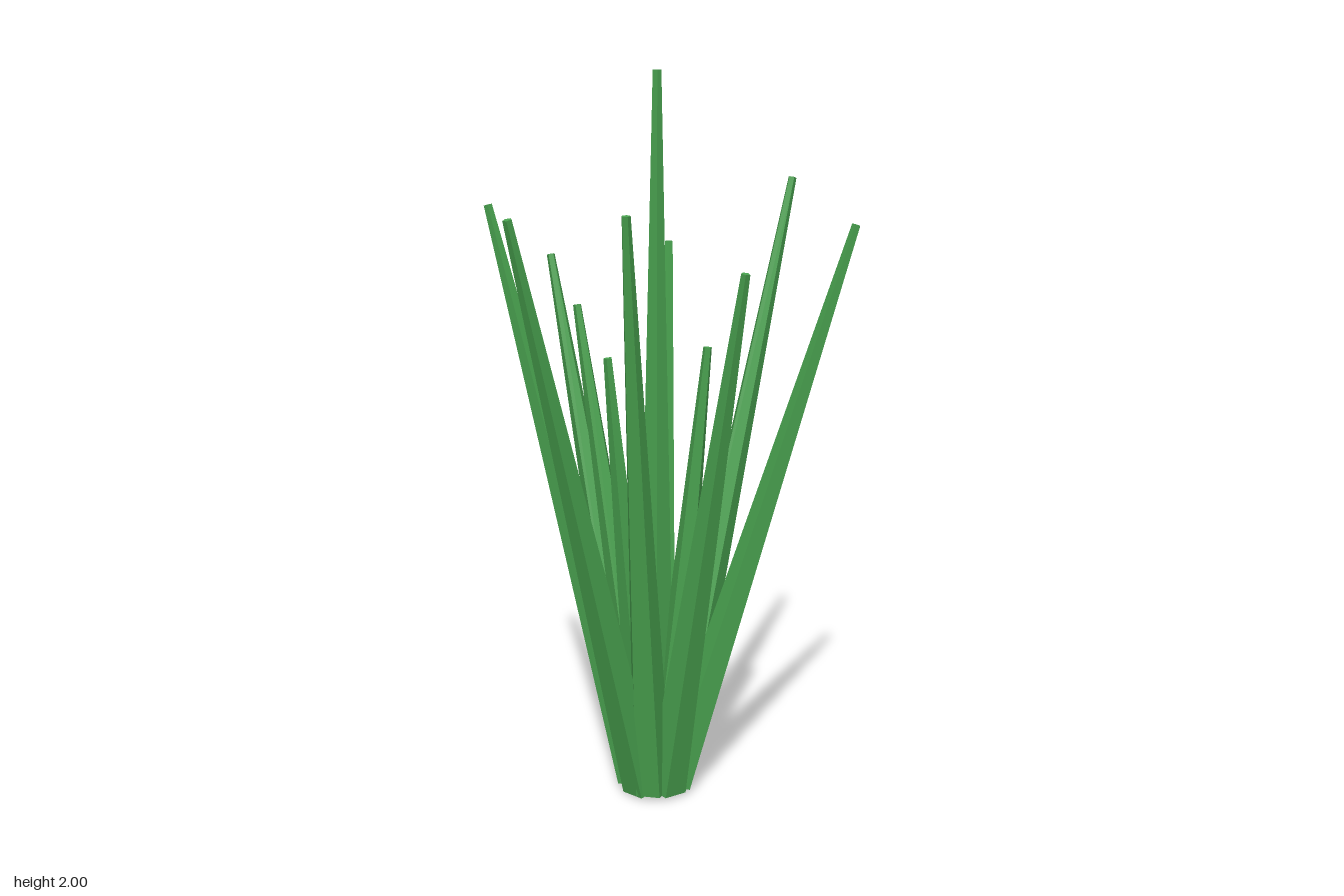
import * as THREE from 'three';

// Tip positions [x, y, z] of the leaning blades
const OUTER_TIPS = [
  [0.52, 1.72, 0.04], [0.385, 1.605, 0.41], [0.34, 1.53, -0.29], [0, 1.5, -0.42],
  [-0.26, 1.65, -0.35], [-0.52, 1.635, 0.125], [-0.257, 1.64, 0.245], [-0.022, 1.5, 0.42],
];
const INNER_TIPS = [
  [-0.03, 1.37, -0.255], [-0.145, 1.26, 0.03], [0.033, 1.12, -0.057], [0.1, 1.28, 0.15],
];
const CENTRE = new THREE.Vector3(0.021, 0, 0.031);

export function createModel() {
  const group = new THREE.Group();
  group.name = 'grassTuft';
  const material = new THREE.MeshStandardMaterial({ color: 0x48a04e, flatShading: true });

  // Five-sided tapering blade from base to tip, with a ridge on its inner side
  function addBlade(name, base, tip, radius) {
    const axis = tip.clone().sub(base);
    const length = axis.length();
    const geometry = new THREE.CylinderGeometry(0.012, radius, length, 5, 1, false, Math.PI);
    geometry.translate(0, length / 2, 0);
    const blade = new THREE.Mesh(geometry, material);
    blade.name = name;
    blade.position.copy(base);
    blade.rotation.order = 'YXZ';
    blade.rotation.y = Math.atan2(axis.x, axis.z);
    blade.rotation.x = Math.acos(axis.y / length);
    group.add(blade);
  }

  // Ring of blades whose bases are spread around the middle
  function addRing(name, tips, spread, radius) {
    tips.forEach((t, i) => {
      const tip = new THREE.Vector3(...t);
      const out = tip.clone().sub(CENTRE).setY(0).normalize();
      const base = CENTRE.clone().addScaledVector(out, spread).setY(0.02);
      addBlade(name + (i + 1), base, tip, radius);
    });
  }

  addBlade('centreBlade', CENTRE, CENTRE.clone().setY(2), 0.058);
  addRing('outerBlade', OUTER_TIPS, 0.057, 0.058);
  addRing('innerBlade', INNER_TIPS, 0.025, 0.055);
  return group;
}
